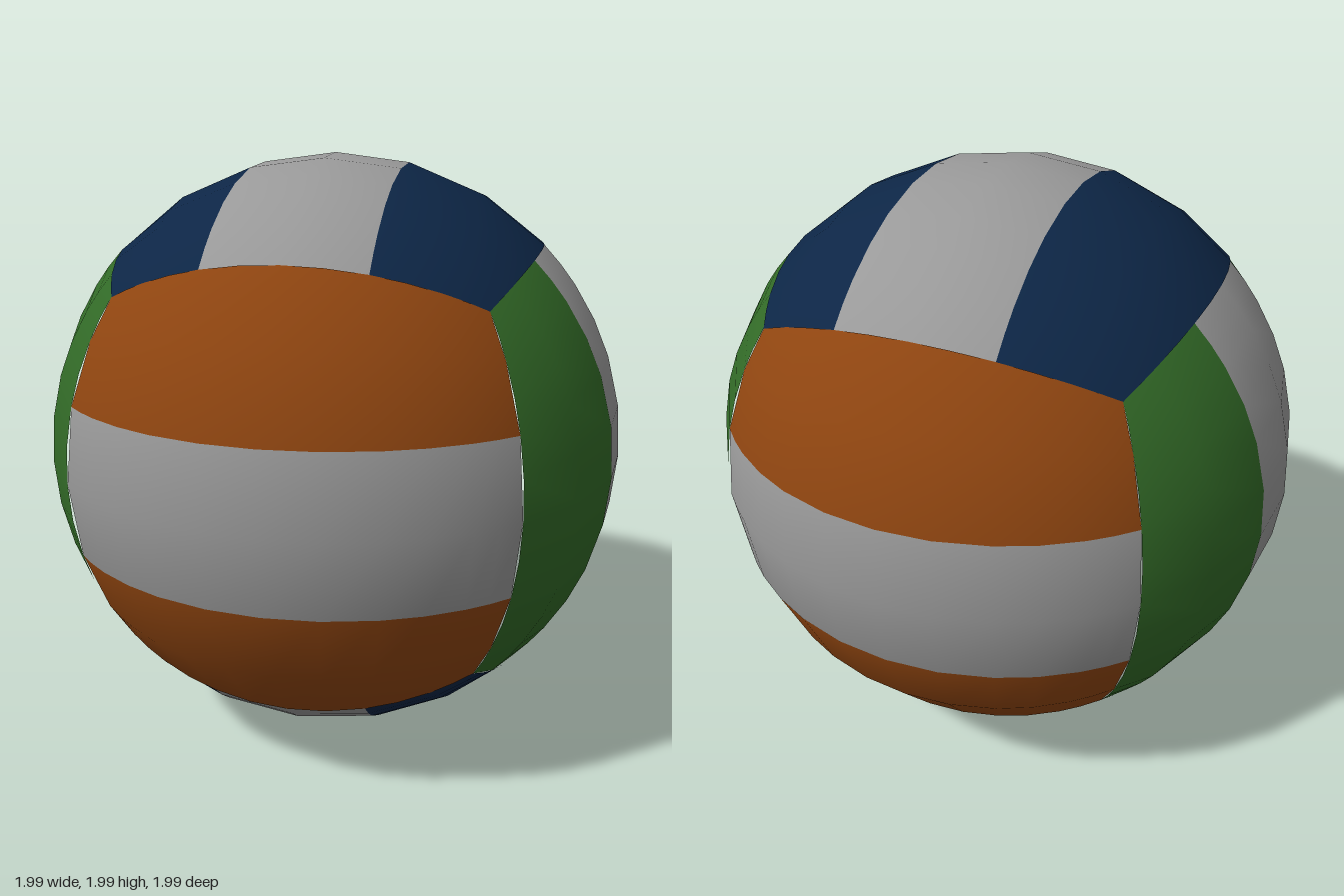
import * as THREE from 'three';

const R = 0.995;
const ROWS = [-Math.SQRT1_2, -0.5, -0.25, 0, 0.25, 0.5, Math.SQRT1_2]; // heights across a panel at its middle
const material = (name, color) => Object.assign(new THREE.MeshStandardMaterial({ color }), { name });

// Height of a row at column slope t: straight near the middle, bending to the seam at the outside
function rowHeight(row, t) {
  const bend = THREE.MathUtils.clamp((Math.abs(row) - 0.25) / (Math.SQRT1_2 - 0.25), 0, 1);
  return row * THREE.MathUtils.lerp(1, Math.SQRT2 / Math.sqrt(2 + t * t), bend);
}

// Columns share their seam points with the neighbouring panel's rows, plus one point between each
function columnSlopes() {
  const base = ROWS.map((row) => {
    const y = rowHeight(row, 1);
    return Math.SQRT2 * y / Math.sqrt(1 - y * y);
  });
  const slopes = [];
  base.forEach((t, i) => {
    if (i) slopes.push(Math.tan((Math.atan(base[i - 1]) + Math.atan(t)) / 2));
    slopes.push(t);
  });
  return slopes;
}

// One curved strip between two rows; n points outwards, u along the strip, v across it
function stripGeometry(n, u, v, firstRow) {
  const slopes = columnSlopes();
  const positions = [], normals = [], index = [];
  for (let r = 0; r <= 2; r++) {
    for (const t of slopes) {
      const h = rowHeight(ROWS[firstRow + r], t);
      const flat = Math.sqrt(1 - h * h) / Math.sqrt(1 + t * t);
      const p = new THREE.Vector3()
        .addScaledVector(n, flat).addScaledVector(u, flat * t).addScaledVector(v, h);
      normals.push(p.x, p.y, p.z);
      positions.push(p.x * R, p.y * R, p.z * R);
    }
  }
  const w = slopes.length;
  for (let r = 0; r < 2; r++) {
    for (let c = 0; c < w - 1; c++) {
      const a = r * w + c;
      index.push(a, a + 1, a + w + 1, a, a + w + 1, a + w);
    }
  }
  const geometry = new THREE.BufferGeometry();
  geometry.setAttribute('position', new THREE.Float32BufferAttribute(positions, 3));
  geometry.setAttribute('normal', new THREE.Float32BufferAttribute(normals, 3));
  geometry.setIndex(index);
  return geometry;
}

export function createModel() {
  const ball = new THREE.Group();
  ball.name = 'ball';
  const white = material('white', 0x999999);
  const orange = material('orange', 0x8f4510);
  const green = material('green', 0x326a27);
  const navy = material('navy', 0x0d2646);
  const X = new THREE.Vector3(1, 0, 0), Y = new THREE.Vector3(0, 1, 0), Z = new THREE.Vector3(0, 0, 1);

  // Three pairs of opposite panels, each made of three strips
  const pairs = [
    { names: ['front', 'back'], n: Z, u: X, v: Y, color: orange },
    { names: ['left', 'right'], n: X, u: Y, v: Z, color: green },
    { names: ['top', 'bottom'], n: Y, u: Z, v: X, color: navy },
  ];
  for (const { names, n, u, v, color } of pairs) {
    names.forEach((name, i) => {
      const sign = i ? -1 : 1;
      const panel = new THREE.Group();
      panel.name = name + 'Panel';
      ['outerStripA', 'middleStrip', 'outerStripB'].forEach((stripName, k) => {
        const geometry = stripGeometry(n.clone().multiplyScalar(sign), u.clone().multiplyScalar(sign), v, k * 2);
        const strip = new THREE.Mesh(geometry, k === 1 ? white : color);
        strip.name = stripName;
        panel.add(strip);
      });
      ball.add(panel);
    });
  }
  ball.position.y = 1;
  const model = new THREE.Group();
  model.name = 'stripedBall';
  model.add(ball);
  return model;
}
